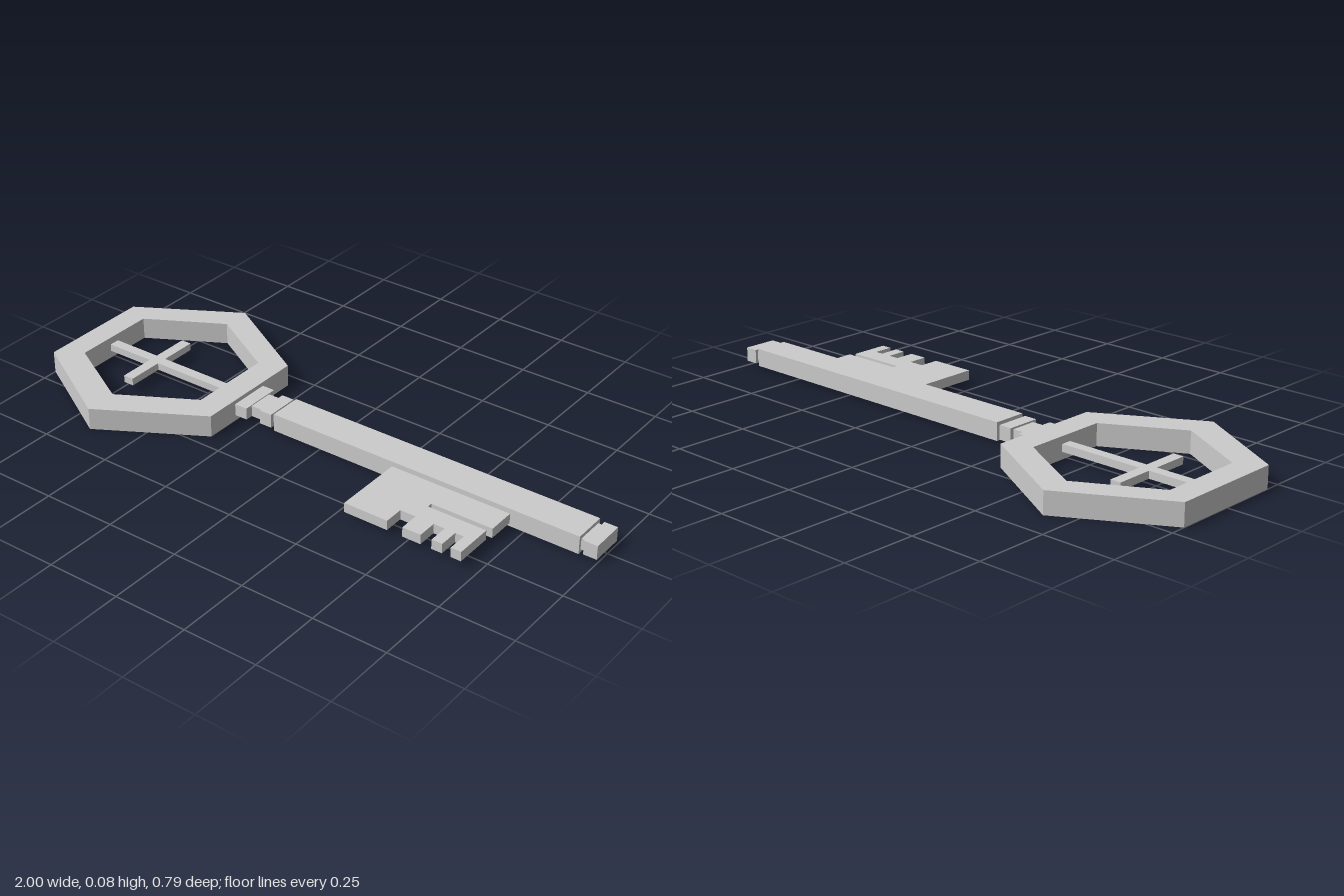
import * as THREE from 'three';

const material = new THREE.MeshStandardMaterial({ color: 0xcccccc, flatShading: true });

const toPoints = (list) => list.map(([x, z]) => new THREE.Vector2(x, z));

// Flat plate drawn in x/z, filling the heights y0 to y1
function plate(name, outline, y0, y1, hole) {
  const shape = new THREE.Shape(toPoints(outline));
  if (hole) shape.holes.push(new THREE.Path(toPoints(hole)));
  const geometry = new THREE.ExtrudeGeometry(shape, { depth: y1 - y0, bevelEnabled: false });
  geometry.rotateX(Math.PI / 2).translate(0, y1, 0);
  const mesh = new THREE.Mesh(geometry, material);
  mesh.name = name;
  return mesh;
}

// Box given by its limits on each axis
function bar(name, [x0, x1], [y0, y1], [z0, z1]) {
  const mesh = new THREE.Mesh(new THREE.BoxGeometry(x1 - x0, y1 - y0, z1 - z0), material);
  mesh.position.set((x0 + x1) / 2, (y0 + y1) / 2, (z0 + z1) / 2);
  mesh.name = name;
  return mesh;
}

// Six corners with two upright sides and a point at each end
const hexagon = (x0, x1, zc, side, tip) => {
  const xm = -0.66;
  return [[x0, zc - side], [xm, zc - tip], [x1, zc - side], [x1, zc + side], [xm, zc + tip], [x0, zc + side]];
};

export function createModel() {
  const key = new THREE.Group();
  key.name = 'key';

  // Hexagonal bow with a cross inside
  key.add(plate('bow', hexagon(-1, -0.32, 0, 0.198, 0.395), 0, 0.075,
    hexagon(-0.914, -0.41, -0.007, 0.147, 0.289)));
  key.add(bar('crossLongBar', [-0.93, -0.4], [0.025, 0.05], [-0.022, 0.014]));
  key.add(bar('crossShortBar', [-0.739, -0.702], [0.025, 0.05], [-0.152, 0.141]));

  // Neck collars, shaft and tip along x
  key.add(bar('bowCollar', [-0.325, -0.274], [0.02, 0.061], [-0.066, 0.077]));
  key.add(bar('neck', [-0.28, -0.17], [0.02, 0.058], [-0.04, 0.05]));
  key.add(bar('neckCollar', [-0.23, -0.185], [0.016, 0.064], [-0.053, 0.064]));
  key.add(bar('shaft', [-0.174, 0.94], [0.009, 0.07], [-0.053, 0.063]));
  key.add(bar('tipNeck', [0.93, 0.96], [0.02, 0.058], [-0.043, 0.053]));
  key.add(bar('tip', [0.955, 1], [0.015, 0.063], [-0.053, 0.064]));

  // Bit with a long slot and three notches between teeth
  const toothEnd = 0.308, notchEnd = 0.24;
  const outline = [[0.283, 0.05], [0.706, 0.05], [0.706, 0.158], [0.492, 0.158], [0.492, 0.176], [0.696, 0.176],
    [0.696, toothEnd]];
  for (const [a, b] of [[0.66, 0.631], [0.594, 0.556], [0.492, 0.438]]) {
    outline.push([a, toothEnd], [a, notchEnd], [b, notchEnd], [b, toothEnd]);
  }
  outline.push([0.283, toothEnd]);
  key.add(plate('bit', outline, 0.02, 0.053));

  return key;
}
